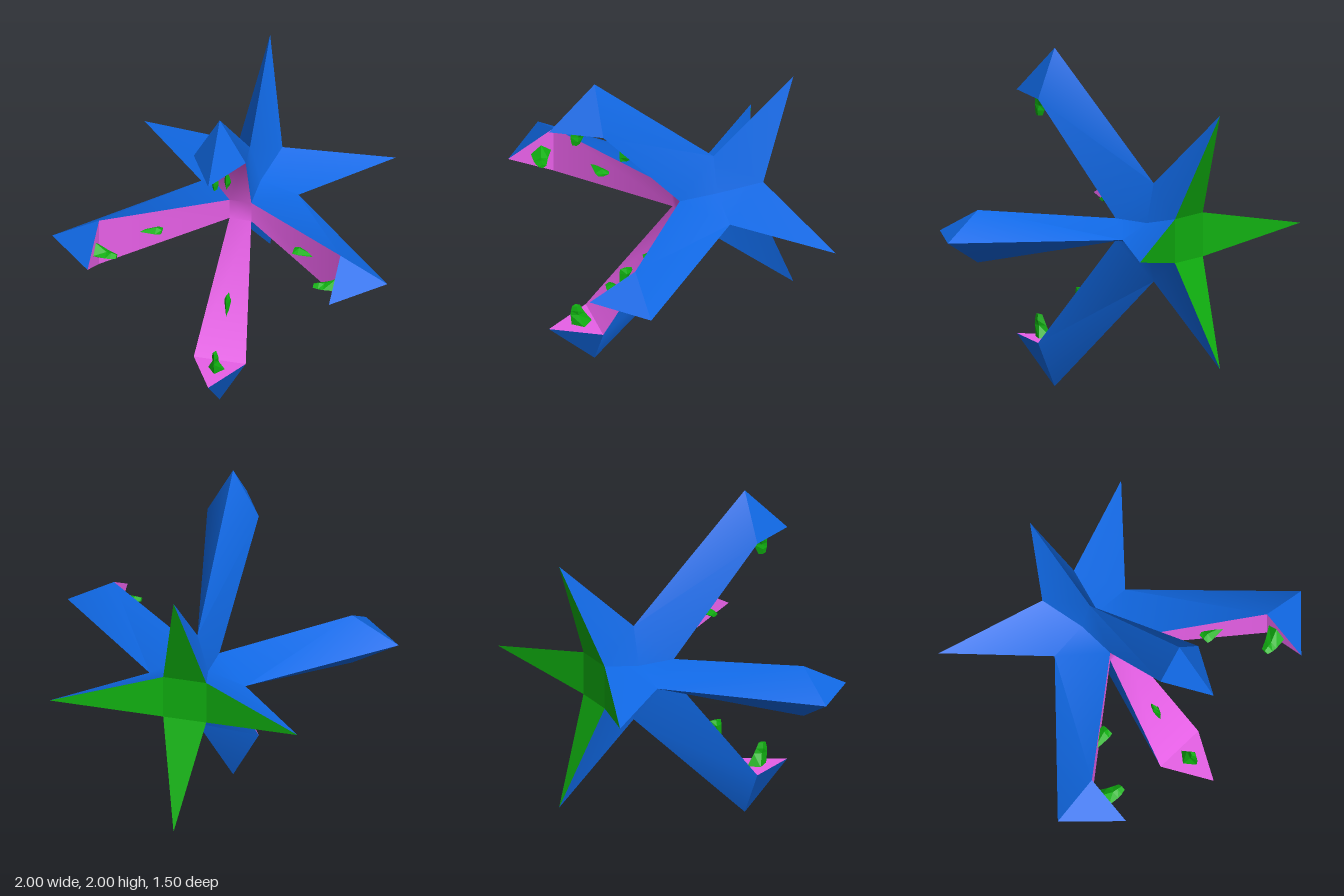
import * as THREE from 'three';
import { toCreasedNormals } from 'three/addons/utils/BufferGeometryUtils.js';

const blue = new THREE.MeshStandardMaterial({ color: 0x1069e6 });
blue.name = 'blue';
const pink = new THREE.MeshStandardMaterial({ color: 0xe860e8 });
pink.name = 'pink';
const green = new THREE.MeshStandardMaterial({ color: 0x10b010 });
green.name = 'green';

// Corners of the upward arm and fin, on its +x half; y is the distance from the central axis
const ridge = [0, 1, 0.47];
const corner = [0.155, 0.72, 0.47];
const beak = [0, 0.72, 0.75];
const notch = [0, 0.29, -0.26];
const waistFront = [0.065, 0.065, -0.03];
const waistBack = [0.065, 0.065, -0.26];
const finRoot = [0.13, 0.13, -0.52];
const finTip = [0, 0.75, -0.75];

const flip = ([x, y, z]) => [-x, y, z];
const withMirror = (tris) => [...tris, ...tris.map(([a, b, c]) => [flip(a), flip(c), flip(b)])];

function facets(tris, crease = 0) {
  const g = new THREE.BufferGeometry();
  g.setAttribute('position', new THREE.Float32BufferAttribute(tris.flat(2), 3));
  g.computeVertexNormals();
  return crease ? toCreasedNormals(g, crease) : g;
}

// Repeat triangles in four directions around the z axis
function fourFold(tris) {
  const turn = ([x, y, z], k) => {
    for (let i = 0; i < k; i++) [x, y] = [-y, x];
    return [x, y, z];
  };
  return [0, 1, 2, 3].flatMap((k) => tris.map((t) => t.map((p) => turn(p, k))));
}

// Diamond cross-sections [y, zMin, zMax, halfWidth], from root to tip
function toothGeometry(sections) {
  const rings = sections.map(([y, z0, z1, w]) => {
    const m = (z0 + z1) / 2;
    return [[0, y, z1], [w, y, m], [0, y, z0], [-w, y, m]];
  });
  const tris = [];
  for (let s = 0; s < rings.length - 1; s++) {
    for (let i = 0; i < 4; i++) {
      const j = (i + 1) % 4;
      const [a, b, c, d] = [rings[s][i], rings[s][j], rings[s + 1][j], rings[s + 1][i]];
      tris.push([a, d, c], [a, c, b]);
    }
  }
  const [a, b, c, d] = rings[rings.length - 1];
  tris.push([a, d, c], [a, c, b]);
  return facets(tris);
}

export function createModel() {
  const model = new THREE.Group();
  model.name = 'clawStar';
  const body = new THREE.Group();
  body.name = 'body';
  body.position.y = 1;
  model.add(body);

  const add = (parent, name, geometry, material) => {
    const mesh = new THREE.Mesh(geometry, material);
    mesh.name = name;
    parent.add(mesh);
  };

  // Outer shell of arms, hooked tips and fins
  const shell = withMirror([
    [ridge, beak, corner],
    [ridge, corner, notch],
    [corner, waistFront, notch],
    [waistFront, waistBack, notch],
    [notch, waistBack, finRoot],
    [notch, finRoot, finTip],
  ]);
  add(body, 'outerShell', facets(fourFold(shell), 0.7), blue);

  // Inner faces of the arms and undersides of the tips
  const hub = [0, 0, -0.03];
  const inner = [
    [beak, flip(corner), corner],
    [corner, flip(corner), flip(waistFront)],
    [corner, flip(waistFront), waistFront],
    [hub, waistFront, flip(waistFront)],
  ];
  add(body, 'innerFaces', facets(fourFold(inner), 0.7), pink);

  // Rear faces of the fins
  const rear = [
    [finTip, finRoot, flip(finRoot)],
    [[0, 0, -0.52], flip(finRoot), finRoot],
  ];
  add(body, 'finBacks', facets(fourFold(rear)), green);

  // Two teeth on every arm
  const tipTooth = toothGeometry([
    [0.722, 0.485, 0.61, 0.05],
    [0.65, 0.53, 0.617, 0.016],
    [0.62, 0.545, 0.615, 0.02],
    [0.588, 0.56, 0.607, 0.013],
  ]);
  const armTooth = toothGeometry([
    [0.52, 0.29, 0.315, 0.004],
    [0.425, 0.235, 0.318, 0.021],
    [0.393, 0.243, 0.312, 0.008],
  ]);
  for (let k = 0; k < 4; k++) {
    const teeth = new THREE.Group();
    teeth.name = 'teeth';
    teeth.rotation.z = (k * Math.PI) / 2;
    add(teeth, 'tipTooth', tipTooth, green);
    add(teeth, 'armTooth', armTooth, green);
    body.add(teeth);
  }
  return model;
}
